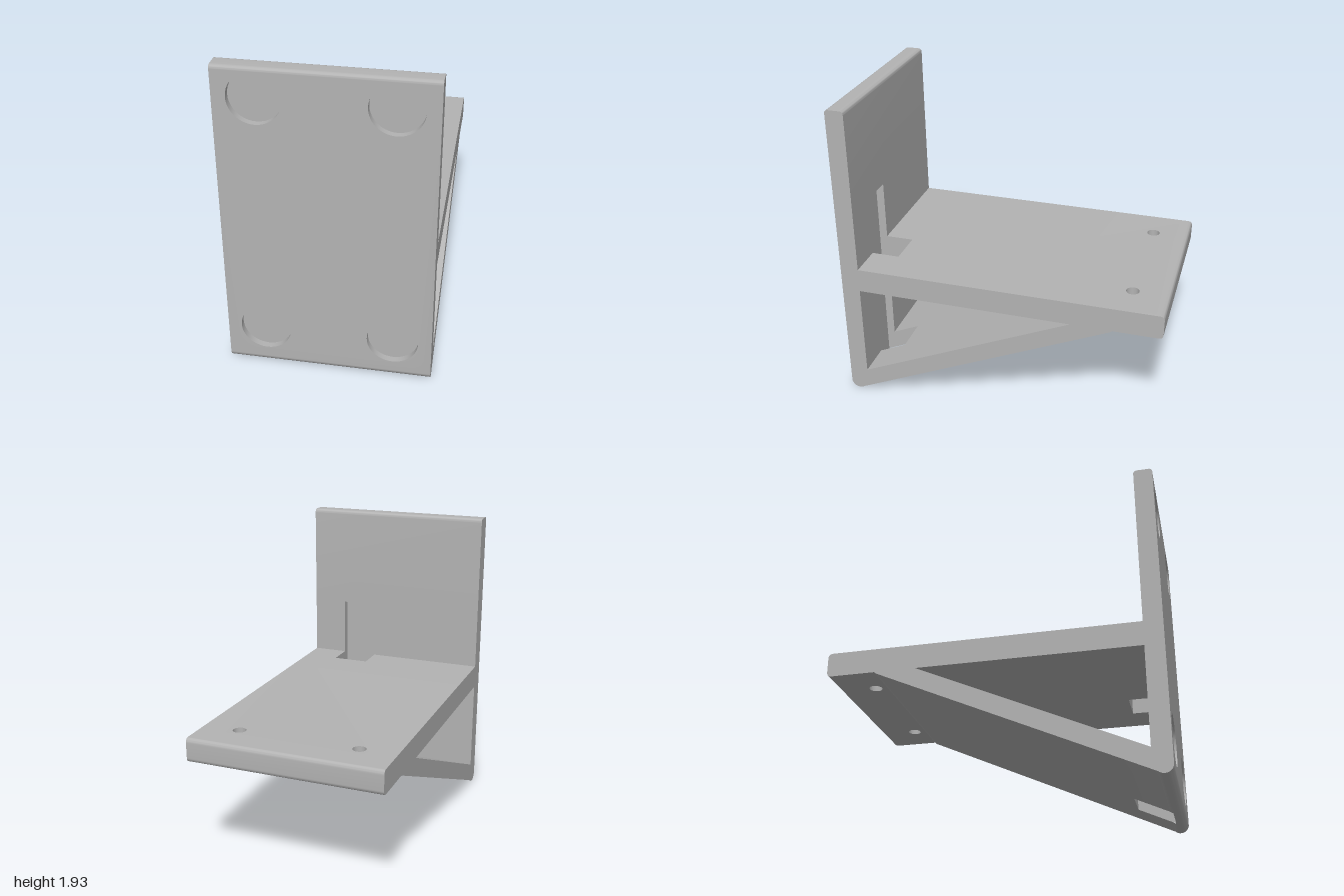
import * as THREE from 'three';
import { mergeGeometries, toCreasedNormals } from 'three/addons/utils/BufferGeometryUtils.js';

const W = 0.603;                                        // half width
const SLOT = { x0: 0.15, x1: 0.38, s0: -0.935, s1: -0.71, top: 1.275 };
const MAGNET = { x: 0.375, r: 0.15, ys: [0.262, 1.755], depth: 0.04 };
const SCREW = { x: 0.375, r: 0.04, s: 0.775 };
const SHELF = [0.75, 0.9];
const PLATE = -0.885;                                   // rear face of the upright plate
const V = (x, y, z) => new THREE.Vector3(x, y, z);

// Side profile in (s, y), where s = -z
function sideProfile() {
  const p = new THREE.Shape();
  p.moveTo(-0.945, 0);
  p.quadraticCurveTo(-0.93, 0, -0.915, 0.012);
  p.lineTo(0.675, 0.733);
  p.quadraticCurveTo(0.69, 0.738, 0.702, SHELF[0]);
  p.lineTo(0.97, SHELF[0]);
  p.quadraticCurveTo(1, SHELF[0], 1, 0.78);
  p.lineTo(1, 0.87);
  p.quadraticCurveTo(1, SHELF[1], 0.97, SHELF[1]);
  p.lineTo(PLATE, SHELF[1]);
  p.lineTo(PLATE, 1.905);
  p.quadraticCurveTo(PLATE, 1.93, -0.91, 1.93);
  p.lineTo(-0.977, 1.93);
  p.quadraticCurveTo(-1, 1.93, -1, 1.907);
  p.lineTo(-1, 0.045);
  p.quadraticCurveTo(-0.99, 0, -0.945, 0);
  // triangular opening between plate, shelf and brace
  const h = new THREE.Path();
  h.moveTo(PLATE, 0.15);
  h.lineTo(PLATE, SHELF[0]);
  h.lineTo(0.45, SHELF[0]);
  h.lineTo(PLATE, 0.15);
  p.holes.push(h);
  return p;
}

function rect(x0, x1, y0, y1) {
  return new THREE.Shape([[x0, y0], [x1, y0], [x1, y1], [x0, y1]].map(c => new THREE.Vector2(...c)));
}

function circle(x, y, r) {
  return new THREE.Path().absarc(x, y, r, 0, Math.PI * 2, false);
}

// Keep positions only, optionally turning the faces round
function bare(geo, flip) {
  const g = geo.index ? geo.toNonIndexed() : geo;
  g.deleteAttribute('uv');
  g.deleteAttribute('normal');
  if (flip) {
    const a = g.attributes.position.array;
    for (let i = 0; i < a.length; i += 9)
      for (let k = 3; k < 6; k++) [a[i + k], a[i + k + 3]] = [a[i + k + 3], a[i + k]];
  }
  return g;
}

// Flat face spanned by u and v, facing u x v
function face(shape, u, v, origin, flip = false) {
  const m = new THREE.Matrix4().makeBasis(u, v, u.clone().cross(v)).setPosition(origin);
  return bare(new THREE.ShapeGeometry(shape, 20).applyMatrix4(m), flip);
}

// Strips across the width for each edge of a contour, left open at the slot
function skin(points, out) {
  points.forEach((a, i) => {
    const b = points[(i + 1) % points.length];
    if (a.distanceTo(b) < 1e-6) return;
    const cuts = [0, 1];
    const add = t => { if (t > 1e-4 && t < 1 - 1e-4) cuts.push(t); };
    if (Math.abs(b.x - a.x) > 1e-6) [SLOT.s0, SLOT.s1].forEach(s => { if (a.y < 1.5) add((s - a.x) / (b.x - a.x)); });
    else if (Math.abs(a.x - PLATE) < 1e-6) add((SLOT.top - a.y) / (b.y - a.y));
    cuts.sort((m, n) => m - n);
    for (let k = 0; k + 1 < cuts.length; k++) {
      const p = a.clone().lerp(b, cuts[k]), q = a.clone().lerp(b, cuts[k + 1]);
      const mid = p.clone().lerp(q, 0.5), len = p.distanceTo(q);
      const d = q.clone().sub(p).normalize();
      const u = V(-1, 0, 0), v = V(0, d.y, -d.x), o = V(0, p.y, -p.x);
      if (mid.x > SLOT.s0 && mid.x < SLOT.s1 && mid.y < SLOT.top) {
        out.push(face(rect(-SLOT.x0, W, 0, len), u, v, o), face(rect(-W, -SLOT.x1, 0, len), u, v, o));
        continue;
      }
      const strip = rect(-W, W, 0, len);
      for (const side of [-1, 1]) {
        if (Math.abs(d.y) < 1e-6 && (p.x - SCREW.s) * (q.x - SCREW.s) < 0 && p.y < 1)
          strip.holes.push(circle(side * SCREW.x, Math.abs(SCREW.s - p.x), SCREW.r));
        if (p.x === -1 && q.x === -1 && len > 1)
          MAGNET.ys.forEach(y => strip.holes.push(circle(side * MAGNET.x, Math.abs(y - p.y), MAGNET.r)));
      }
      out.push(face(strip, u, v, o));
    }
  });
}

export function createModel() {
  const parts = [];
  const profile = sideProfile();
  const X = V(1, 0, 0), Y = V(0, 1, 0), S = V(0, 0, -1);

  // Outer skin, inner skin of the opening, and both side faces
  skin(profile.getPoints(8), parts);
  skin(profile.holes[0].getPoints(1), parts);
  parts.push(face(profile, S, Y, V(W, 0, 0)), face(profile, S, Y, V(-W, 0, 0), true));

  // Cable slot: side walls, front wall, ceiling and rear walls
  const under = s => 0.012 + (s + 0.915) * 0.721 / 1.59;
  const over = s => 0.15 + (s - PLATE) * 0.6 / 1.335;
  const { x0, x1, s0, s1, top } = SLOT;
  const wall = new THREE.Shape([
    [s0, 0.002], [-0.915, 0.012], [s1, under(s1)], [s1, over(s1)], [PLATE, 0.15], [PLATE, SHELF[0]],
    [s1, SHELF[0]], [s1, SHELF[1]], [PLATE, SHELF[1]], [PLATE, top], [s0, top],
  ].map(c => new THREE.Vector2(...c)));
  parts.push(face(wall, S, Y, V(x0, 0, 0)), face(wall, S, Y, V(x1, 0, 0), true));
  parts.push(face(rect(x0, x1, 0.002, top), X, Y, V(0, 0, -s0), true));
  parts.push(face(rect(x0, x1, -PLATE, -s0), X, V(0, 0, 1), V(0, top, 0)));
  for (const [y0, y1] of [SHELF, [under(s1), over(s1)]])
    parts.push(face(rect(x0, x1, y0, y1), X, Y, V(0, 0, -s1)));

  for (const side of [-1, 1]) {
    // Screw holes through the shelf
    const h = SHELF[1] - SHELF[0];
    parts.push(bare(new THREE.CylinderGeometry(SCREW.r, SCREW.r, h, 40, 1, true)
      .translate(side * SCREW.x, SHELF[0] + h / 2, -SCREW.s), true));
    // Round recesses in the front of the plate
    for (const y of MAGNET.ys) {
      parts.push(bare(new THREE.CylinderGeometry(MAGNET.r, MAGNET.r, MAGNET.depth, 40, 1, true)
        .rotateX(Math.PI / 2).translate(side * MAGNET.x, y, 1 - MAGNET.depth / 2), true));
      parts.push(bare(new THREE.CircleGeometry(MAGNET.r, 40).translate(side * MAGNET.x, y, 1 - MAGNET.depth)));
    }
  }

  const grey = new THREE.MeshStandardMaterial({ color: 0xb3b3b3 });
  grey.name = 'grey plastic';
  const bracket = new THREE.Mesh(toCreasedNormals(mergeGeometries(parts), Math.PI / 6), grey);
  bracket.name = 'shelfBracket';
  const model = new THREE.Group();
  model.name = 'bracket';
  model.add(bracket);
  return model;
}
